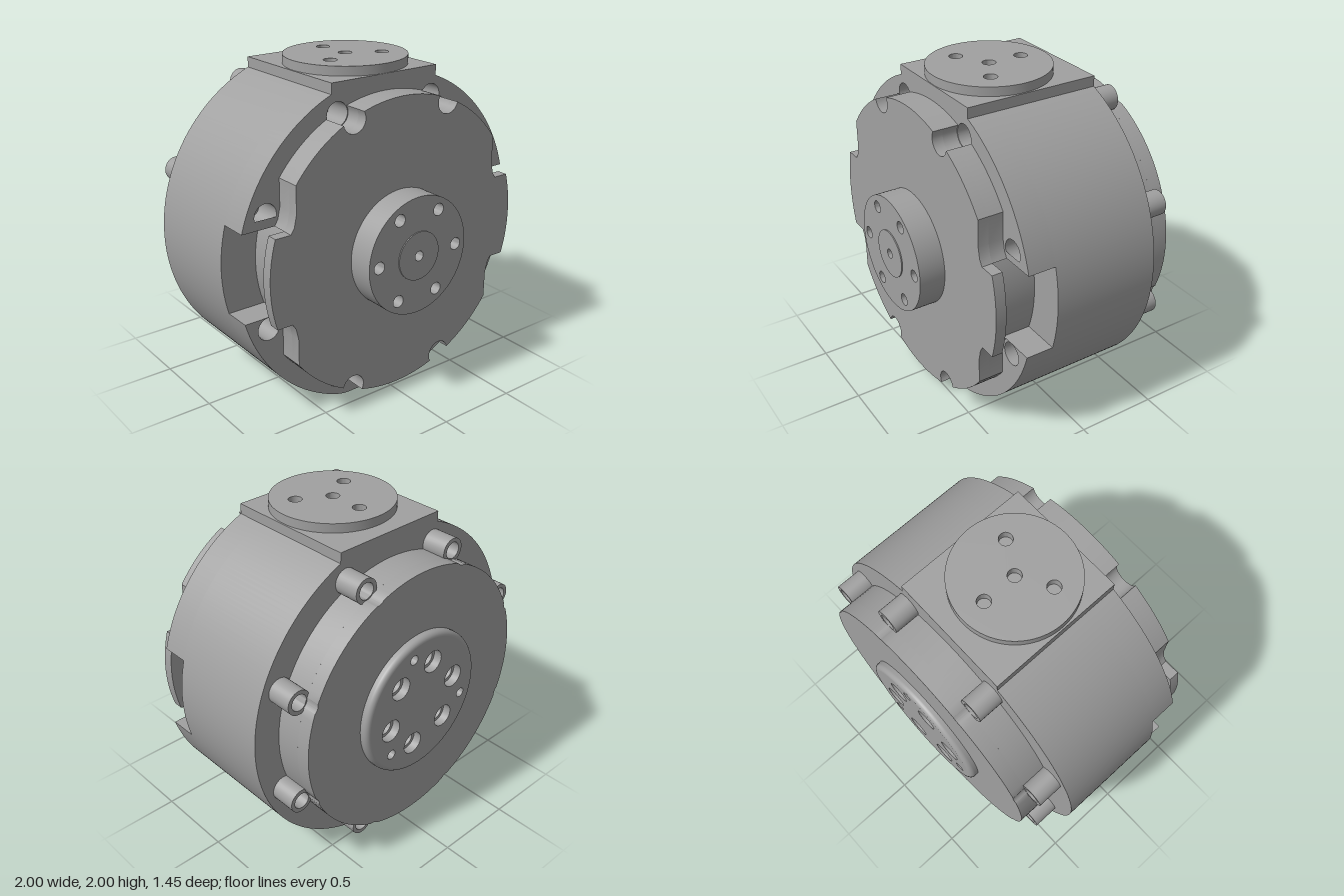
import * as THREE from 'three';
import { toCreasedNormals } from 'three/addons/utils/BufferGeometryUtils.js';

const CY = 0.955;          // height of the main axis
const BOLT_R = 0.88;       // bolt circle
const SIDE = 0.265;        // half height of the side recesses
const { PI, sin, cos, asin, acos, atan2 } = Math;

const arc = (cx, cy, r, a0, a1, n = 24) => Array.from({ length: n + 1 }, (_, i) => {
  const a = a0 + (a1 - a0) * i / n;
  return [cx + r * cos(a), cy + r * sin(a)];
});
// n positions on a circle, starting at an angle in degrees
const polar = (r, n, start) => Array.from({ length: n }, (_, i) => {
  const a = start * PI / 180 + 2 * PI * i / n;
  return [r * cos(a), r * sin(a)];
});
const holesAt = (centres, r) => centres.map(([x, y]) => [x, y, r]);
const mirrorX = pts => [...pts, ...pts.map(([x, y]) => [-x, y]).reverse()];
const mirrorY = pts => [...pts, ...pts.map(([x, y]) => [x, -y]).reverse()];

// Drop repeated points so outlines triangulate cleanly
const clean = pts => pts.filter((p, i) => {
  const q = pts[(i + 1) % pts.length];
  return Math.hypot(p[0] - q[0], p[1] - q[1]) > 1e-5;
});
const toVectors = pts => clean(pts).map(p => new THREE.Vector2(p[0], p[1]));

// Concave bite out of a rim of radius R, centred at angle t on radius d
function notch(R, d, t, r) {
  const delta = acos((R * R + d * d - r * r) / (2 * R * d));
  const cx = d * cos(t), cy = d * sin(t);
  const s = atan2(R * sin(t - delta) - cy, R * cos(t - delta) - cx);
  let e = atan2(R * sin(t + delta) - cy, R * cos(t + delta) - cx);
  while (e > s) e -= 2 * PI;
  return { delta, pts: arc(cx, cy, r, s, e, 14) };
}

export function createModel() {
  const model = new THREE.Group();
  model.name = 'rotaryActuator';
  const grey = new THREE.MeshStandardMaterial({ color: 0xa0a0a0 });
  grey.name = 'machinedGrey';

  const axis = new THREE.Group();
  axis.name = 'mainAxisParts';
  axis.position.y = CY;
  model.add(axis);

  function plate(name, pts, holes, z0, z1, parent = axis) {
    const shape = new THREE.Shape(toVectors(pts));
    for (const [x, y, r] of holes) {
      shape.holes.push(new THREE.Path(toVectors(arc(x, y, r, 0, -2 * PI, 28))));
    }
    const geo = new THREE.ExtrudeGeometry(shape, { depth: z1 - z0, bevelEnabled: false });
    geo.translate(0, 0, z0);
    const mesh = new THREE.Mesh(toCreasedNormals(geo, 0.5), grey);
    mesh.name = name;
    parent.add(mesh);
    return mesh;
  }
  const disc = r => arc(0, 0, r, 0, 2 * PI, 96);

  const bolts = polar(BOLT_R, 8, 22.5);
  const upperBolts = bolts.filter(b => b[1] > 0), lowerBolts = bolts.filter(b => b[1] < 0);

  // Housing: round body with a square pad on top and a flat foot
  const t0 = asin(SIDE);
  const upper = mirrorX([...arc(0, 0, 1, t0, acos(0.375), 32), [0.375, 0.99]]);
  const foot = new THREE.QuadraticBezierCurve(
    new THREE.Vector2(0.42, -0.9075), new THREE.Vector2(0.319, -CY), new THREE.Vector2(0.25, -CY));
  const lower = mirrorX([
    ...arc(0, 0, 1, -t0, -acos(0.42), 32),
    ...foot.getPoints(8).map(p => [p.x, p.y]),
  ]).reverse();
  const body = [
    ...upper, ...arc(0, 0, 1, PI - t0, PI + t0, 14),
    ...lower, ...arc(0, 0, 1, -t0, t0, 14),
  ];
  plate('housing', body, holesAt(bolts, 0.05), -0.435, 0.23);
  plate('housingUpperFront', upper, holesAt(upperBolts, 0.07), 0.23, 0.4);
  plate('housingLowerFront', lower, holesAt(lowerBolts, 0.07), 0.23, 0.4);
  plate('innerCore', disc(0.78), [], 0.23, 0.475);

  // Front cover, notched around the bolts and thin at the sides
  const R = 0.895, tb = 67.5 * PI / 180;
  const bite = notch(R, BOLT_R, tb, 0.075);
  const corner = [
    [0.757, SIDE], [0.735, 0.3], [0.72, 0.37],
    ...arc(0, 0, R, acos(0.72 / R), tb - bite.delta, 14),
    ...bite.pts,
    ...arc(0, 0, R, tb + bite.delta, PI / 2, 14),
  ];
  const coverTop = mirrorX(corner);
  const coverBottom = coverTop.map(([x, y]) => [x, -y]).reverse();
  const quarter = [...arc(0, 0, R, 0, asin(SIDE / R), 10), ...corner];
  plate('frontCover', mirrorY(mirrorX(quarter)), [], 0.49, 0.555);
  plate('frontCoverUpperSpacer', coverTop, [], 0.4, 0.49);
  plate('frontCoverLowerSpacer', coverBottom, [], 0.4, 0.49);

  // Front hub with bolt circle and raised centre
  plate('frontHub', disc(0.357), [...holesAt(polar(0.285, 6, 0), 0.037), [0, 0, 0.03]], 0.555, 0.715);
  plate('frontHubCentre', disc(0.147), [[0, 0, 0.03]], 0.715, 0.722);

  // Back cover with a notched rim, and the bolt bosses around it
  const flangeHoles = polar(0.265, 6, 45), pinHoles = polar(0.348, 3, 75);
  const rim = [];
  for (let i = 0; i < 8; i++) {
    const t = (22.5 + 45 * i) * PI / 180;
    const n = notch(0.833, BOLT_R, t, 0.055);
    rim.push(...n.pts, ...arc(0, 0, 0.833, t + n.delta, t + PI / 4 - n.delta, 12));
  }
  plate('backCoverBase', disc(0.833), [], -0.59, -0.435);
  plate('backCover', rim, holesAt(flangeHoles, 0.05), -0.675, -0.59);
  for (const [x, y] of bolts) {
    const boss = plate('boltBoss', arc(0, 0, 0.075, 0, 2 * PI, 32), [[0, 0, 0.05]], -0.59, -0.435);
    boss.position.set(x, y, 0);
  }

  // Back output flange with a rounded edge
  plate('backFlange', disc(0.42), [...holesAt(flangeHoles, 0.07), ...holesAt(pinHoles, 0.03)], -0.727, -0.675);
  const edge = [[0.45, 0.675], ...arc(0.42, 0.697, 0.03, 0, PI / 2, 6)];
  const edgeGeo = new THREE.LatheGeometry(toVectors([...edge, [0.41, 0.727]]).slice(0, -1), 96);
  edgeGeo.rotateX(-PI / 2);
  const edgeMesh = new THREE.Mesh(edgeGeo, grey);
  edgeMesh.name = 'backFlangeEdge';
  axis.add(edgeMesh);

  // Round mounting disc on the top pad
  const top = new THREE.Group();
  top.name = 'topMount';
  top.position.set(0, 1.945, 0.03);
  top.rotation.x = -PI / 2;
  model.add(top);
  plate('topDisc', disc(0.366), [[0, 0, 0.04], ...holesAt(polar(0.216, 3, 90), 0.04)], 0, 0.055, top);

  return model;
}
